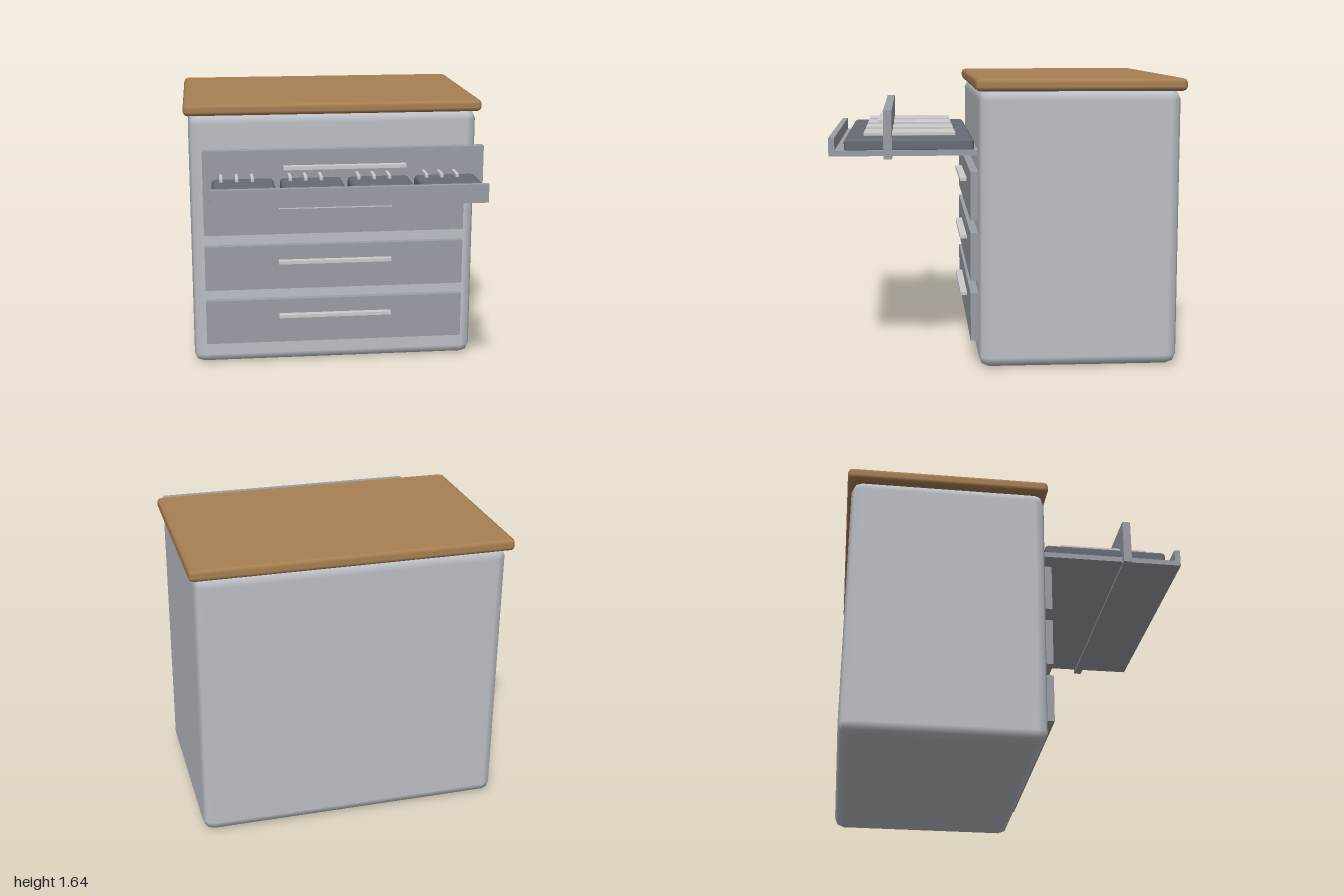
import * as THREE from 'three';
import { RoundedBoxGeometry } from 'three/addons/geometries/RoundedBoxGeometry.js';

const paint = (color) => new THREE.MeshStandardMaterial({ color });

export function createModel() {
  const model = new THREE.Group();
  const shell = paint(0xbcc0c6), panel = paint(0x9a9ea6), metal = paint(0xcccccc);
  const dark = paint(0x666b74), wood = paint(0xa87f52);

  // Box given by its [min, max] range on each axis; a radius softens its edges
  function block(name, x, y, z, material, radius = 0, parent = model) {
    const size = [x, y, z].map(([a, b]) => b - a);
    const geometry = radius
      ? new RoundedBoxGeometry(...size, 1, radius)
      : new THREE.BoxGeometry(...size);
    const mesh = new THREE.Mesh(geometry, material);
    mesh.position.set((x[0] + x[1]) / 2, (y[0] + y[1]) / 2, (z[0] + z[1]) / 2);
    mesh.name = name;
    parent.add(mesh);
    return mesh;
  }

  // Cabinet and worktop
  block('cabinetBody', [-0.878, 0.878], [-0.006, 1.576], [-0.976, 0.164], shell, 0.06);
  block('worktop', [-0.906, 0.906], [1.568, 1.638], [-1.002, 0.182], wood, 0.025);

  // Drawer front with its bar handle
  function drawerFront(name, y0, y1, z0, z1, handleY) {
    const drawer = new THREE.Group();
    drawer.name = name;
    block('drawerPanel', [-0.8, 0.8], [y0, y1], [z0, z1], panel, 0, drawer);
    block('handle', [-0.348, 0.348], [handleY - 0.01, handleY + 0.01], [z1 - 0.003, z1 + 0.04], metal, 0, drawer);
    model.add(drawer);
  }
  [0.14, 0.488, 0.838].forEach((y, i) =>
    drawerFront(`closedDrawer${i + 1}`, y, y + 0.278, 0.155, 0.208, y + 0.177));
  drawerFront('openDrawerFront', 1.188, 1.46, 0.645, 0.693, 1.362);

  // Pulled-out shelf with raised front lip
  block('shelf', [-0.765, 0.765], [1.203, 1.235], [0.1, 1], panel);
  block('shelfLip', [-0.765, 0.765], [1.203, 1.307], [0.966, 1], panel);

  // Four dark trays, each holding three rods
  for (let i = 0; i < 4; i++) {
    const x = (i - 1.5) * 0.3835;
    const tray = new THREE.Group();
    tray.name = `tray${i + 1}`;
    block('trayBase', [x - 0.174, x + 0.174], [1.222, 1.299], [0.183, 0.915], dark, 0.02, tray);
    for (let j = 0; j < 3; j++) {
      const rodX = x - 0.122 + j * 0.0865;
      block('rod', [rodX - 0.01, rodX + 0.01], [1.303, 1.329], [0.283, 0.808], metal, 0.006, tray);
    }
    model.add(tray);
  }
  return model;
}
